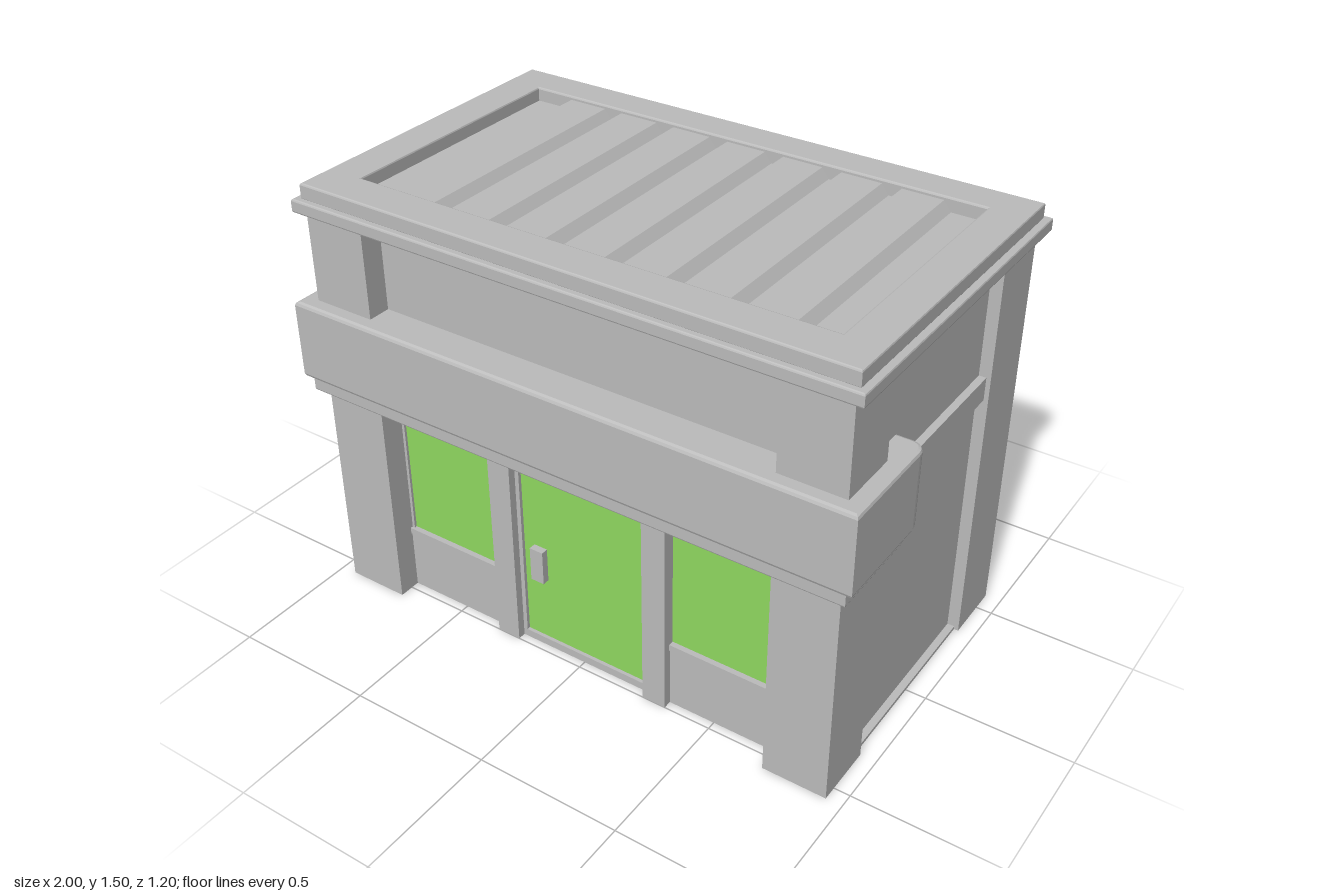
import * as THREE from 'three';

const grey = new THREE.MeshStandardMaterial({ color: 0xbcbcbc });
grey.name = 'wall grey';
const green = new THREE.MeshStandardMaterial({ color: 0x8fd860 });
green.name = 'glass green';

export function createModel() {
  const shop = new THREE.Group();
  shop.name = 'shop';

  const add = (name, geometry, material = grey) => {
    const mesh = new THREE.Mesh(geometry, material);
    mesh.name = name;
    shop.add(mesh);
    return mesh;
  };

  // Box given by its limits on each axis
  const box = (name, x0, x1, y0, y1, z0, z1, material) =>
    add(name, new THREE.BoxGeometry(x1 - x0, y1 - y0, z1 - z0)
      .translate((x0 + x1) / 2, (y0 + y1) / 2, (z0 + z1) / 2), material);

  // Horizontal slab with softened edges; rear corners may be rounded, and a hole cut through
  const slab = (name, hx, y0, y1, zBack, zFront, bevel, radius = 0, hole = null) => {
    const x = hx - bevel, f = -zFront + bevel, b = -zBack - bevel;
    const shape = new THREE.Shape();
    shape.moveTo(-x, f);
    shape.lineTo(x, f);
    shape.lineTo(x, b - radius);
    if (radius) shape.quadraticCurveTo(x, b, x - radius, b);
    shape.lineTo(-x + radius, b);
    if (radius) shape.quadraticCurveTo(-x, b, -x, b - radius);
    shape.closePath();
    if (hole) {
      const [h, z0, z1] = hole, e = bevel;
      shape.holes.push(new THREE.Path([
        new THREE.Vector2(-h - e, -z0 + e), new THREE.Vector2(h + e, -z0 + e),
        new THREE.Vector2(h + e, -z1 - e), new THREE.Vector2(-h - e, -z1 - e),
      ]));
    }
    const g = new THREE.ExtrudeGeometry(shape, {
      depth: y1 - y0 - 2 * bevel, bevelEnabled: true, bevelThickness: bevel,
      bevelSize: bevel, bevelSegments: 2, curveSegments: 6,
    });
    g.rotateX(-Math.PI / 2).translate(0, y0 + bevel, 0);
    return add(name, g);
  };

  // Main walls and floor
  box('walls', -0.905, 0.905, 0.005, 1.41, -0.555, 0.45);
  box('floor', -0.93, 0.93, 0, 0.012, -0.57, 0.47);
  box('upperFrontWall', -0.73, 0.73, 0.745, 1.41, 0.44, 0.47);

  // Corner pillars, side rails and the two window bays
  for (const s of [-1, 1]) {
    const side = (name, a, b, ...rest) =>
      box(name, Math.min(s * a, s * b), Math.max(s * a, s * b), ...rest);
    side('frontPillar', 0.725, 0.945, 0, 1.41, 0.335, 0.55);
    side('backPillar', 0.725, 0.945, 0, 1.41, -0.575, -0.355);
    side('sideRail', 0.89, 0.93, 0.915, 0.995, -0.36, 0.25);
    side('doorPost', 0.25, 0.335, 0, 0.78, 0.4, 0.5);
    side('wallUnderWindow', 0.33, 0.73, 0, 0.22, 0.44, 0.47);
    side('windowSill', 0.33, 0.73, 0.22, 0.243, 0.44, 0.475);
    side('windowHeader', 0.33, 0.73, 0.718, 0.746, 0.44, 0.465);
    side('windowJamb', 0.715, 0.73, 0.24, 0.72, 0.44, 0.465);
    side('windowGlass', 0.335, 0.715, 0.243, 0.718, 0.448, 0.456, green);
    side('doorJamb', 0.235, 0.255, 0, 0.746, 0.44, 0.472);
  }

  // Door
  box('doorHeader', -0.25, 0.25, 0.725, 0.747, 0.44, 0.472);
  box('doorThreshold', -0.25, 0.25, 0, 0.028, 0.44, 0.472);
  box('doorGlass', -0.235, 0.235, 0.028, 0.725, 0.452, 0.46, green);
  box('doorHandle', -0.195, -0.145, 0.27, 0.395, 0.455, 0.485);

  // Sign band wrapping round the front corners
  slab('signBand', 1, 0.82, 1.095, 0.2, 0.6, 0.012, 0.035);
  slab('signLowerLip', 0.975, 0.77, 0.83, 0.22, 0.585, 0.006, 0.035);

  // Stepped cornice with an open roof well
  slab('corniceLower', 0.98, 1.4, 1.445, -0.6, 0.575, 0.006);
  slab('corniceUpper', 0.957, 1.44, 1.495, -0.58, 0.553, 0.006, 0, [0.83, -0.455, 0.42]);

  // Corrugated roof sheet: seven broad ridges between narrow valleys
  const profile = new THREE.Shape();
  const low = 1.448, high = 1.482;
  profile.moveTo(-0.83, 1.435);
  profile.lineTo(-0.83, low);
  for (let i = 0; i < 7; i++) {
    const c = (i - 3) * 0.207;
    profile.lineTo(c - 0.095, low);
    profile.lineTo(c - 0.07, high);
    profile.lineTo(c + 0.07, high);
    profile.lineTo(c + 0.095, low);
  }
  profile.lineTo(0.83, low);
  profile.lineTo(0.83, 1.435);
  add('roofSheet', new THREE.ExtrudeGeometry(profile, { depth: 0.875, bevelEnabled: false })
    .translate(0, 0, -0.455));

  return shop;
}
